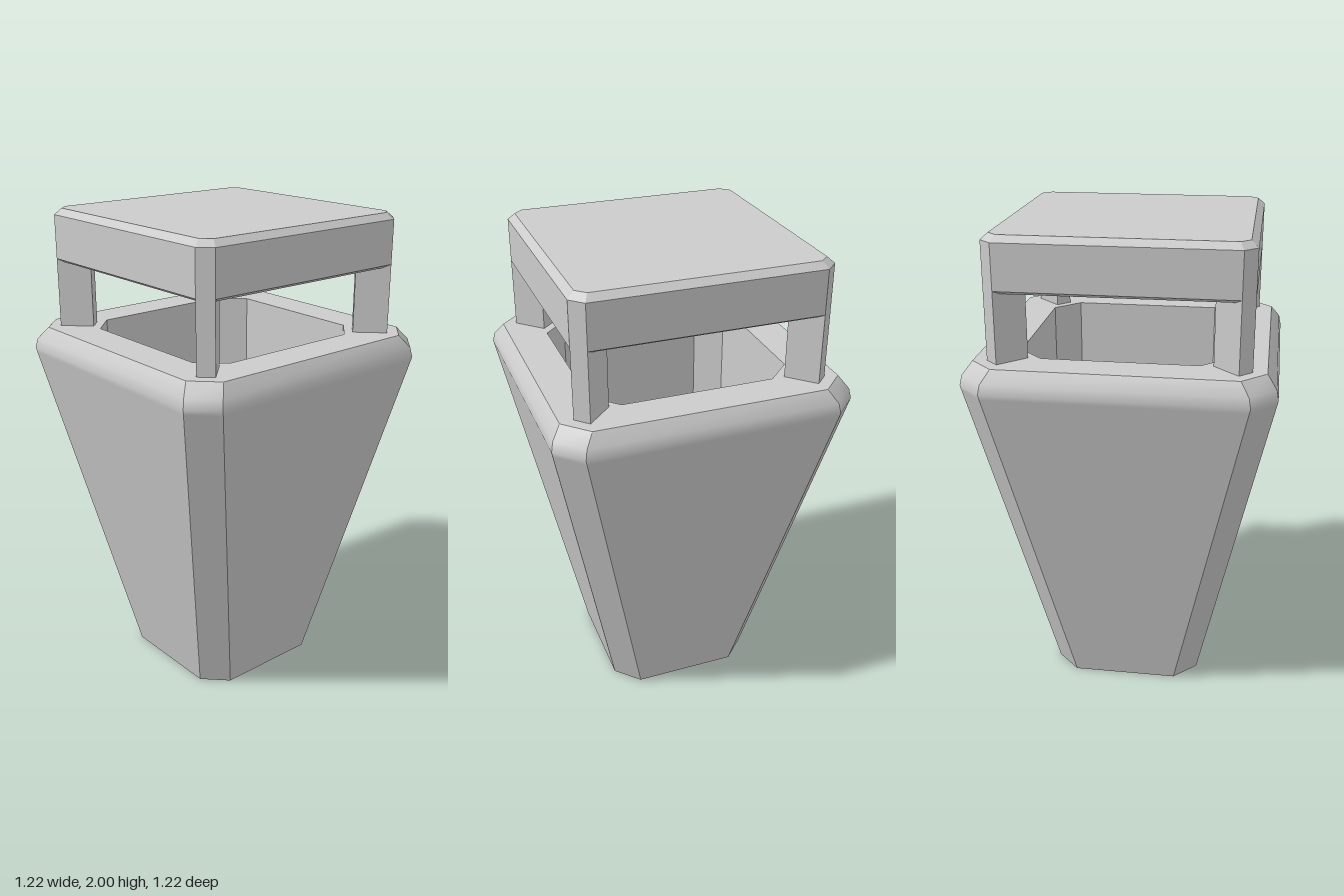
import * as THREE from 'three';
import { mergeGeometries } from 'three/addons/utils/BufferGeometryUtils.js';

const material = new THREE.MeshStandardMaterial({ color: 0xcccccc });

// Square outline with cut corners: h = half width, f = half length of the straight edge
const outline = (h, f) => [[h, f], [h, -f], [f, -h], [-f, -h], [-h, -f], [-h, f], [-f, h], [f, h]];

// Loft through [y, h, f] sections: smooth along the profile, sharp between the eight sides
function loft(sections) {
  const strips = [];
  for (let side = 0; side < 8; side++) {
    const positions = [], index = [];
    sections.forEach(([y, h, f], row) => {
      const ring = outline(h, f);
      const a = ring[side], b = ring[(side + 1) % 8];
      positions.push(a[0], y, a[1], b[0], y, b[1]);
      if (row > 0) {
        const k = row * 2;
        index.push(k - 2, k - 1, k + 1, k - 2, k + 1, k);
      }
    });
    const strip = new THREE.BufferGeometry();
    strip.setAttribute('position', new THREE.Float32BufferAttribute(positions, 3));
    strip.setIndex(index);
    strip.computeVertexNormals();
    strips.push(strip);
  }
  return mergeGeometries(strips);
}

// Several lofts joined with sharp edges between them
const part = (name, ...runs) => {
  const mesh = new THREE.Mesh(mergeGeometries(runs.map(loft)), material);
  mesh.name = name;
  return mesh;
};

export function createModel() {
  const group = new THREE.Group();
  group.name = 'taperedBin';

  // Tapered body with rounded rim and a hollow inside
  group.add(part('body',
    [[0, 0, 0], [0, 0.315, 0.22]],
    [[0, 0.315, 0.22], [1.4, 0.606, 0.506], [1.42, 0.61, 0.51], [1.46, 0.602, 0.503], [1.51, 0.565, 0.47]],
    [[1.51, 0.565, 0.47], [1.51, 0.41, 0.31]],
    [[1.51, 0.41, 0.31], [0.95, 0.41, 0.31]],
    [[0.95, 0.41, 0.31], [0.95, 0, 0]]));

  // Flat lid with bevelled upper and lower edges
  group.add(part('lid',
    [[1.78, 0, 0], [1.78, 0.485, 0.445]],
    [[1.78, 0.485, 0.445], [1.795, 0.51, 0.46]],
    [[1.795, 0.51, 0.46], [1.975, 0.51, 0.46]],
    [[1.975, 0.51, 0.46], [2, 0.482, 0.445]],
    [[2, 0.482, 0.445], [2, 0, 0]]));

  // Four posts set diagonally at the corners, flush with the lid's cut corners
  const postGeometry = new THREE.BoxGeometry(0.0707, 0.295, 0.1414);
  for (let i = 0; i < 4; i++) {
    const angle = Math.PI / 4 + i * Math.PI / 2;
    const radius = 0.97 / Math.SQRT2 - 0.0707;
    const post = new THREE.Mesh(postGeometry, material);
    post.name = 'post' + (i + 1);
    post.position.set(Math.sin(angle) * radius, 1.6475, Math.cos(angle) * radius);
    post.rotation.y = angle;
    group.add(post);
  }
  return group;
}
